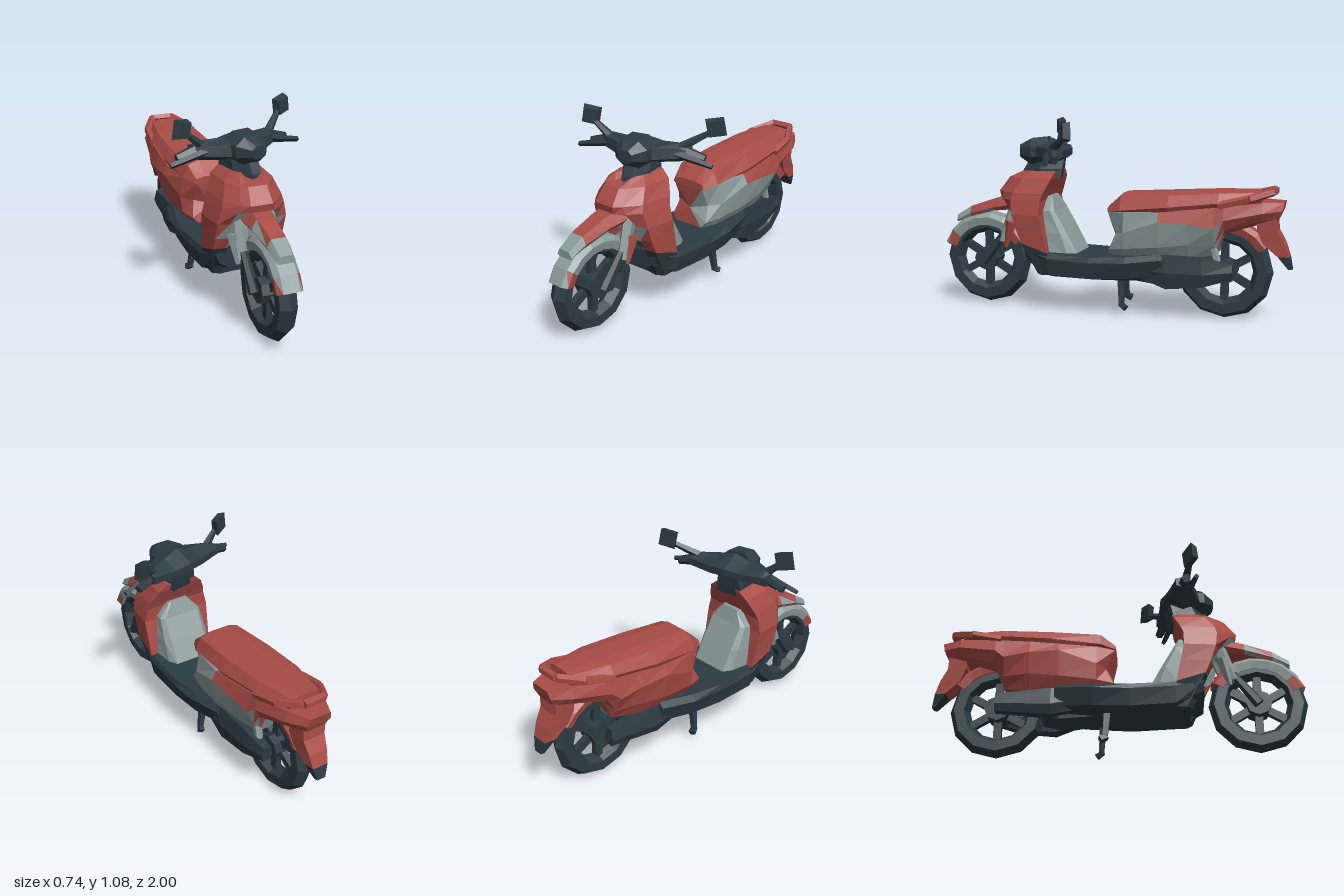
import * as THREE from 'three';

const mat = (name, color) => new THREE.MeshStandardMaterial({ name, color, flatShading: true });

// Closed solid through equal-length loops of [x, y, z], capped at both ends
function loft(rings) {
  const n = rings[0].length, out = [];
  const tri = (a, b, c) => out.push([a, b, c]);
  for (let i = 0; i < rings.length - 1; i++)
    for (let j = 0; j < n; j++) {
      const k = (j + 1) % n, a = rings[i], b = rings[i + 1];
      tri(a[j], a[k], b[k]);
      tri(a[j], b[k], b[j]);
    }
  [rings[0], rings[rings.length - 1]].forEach((r, end) => {
    const c = [0, 1, 2].map(d => r.reduce((s, p) => s + p[d], 0) / n);
    for (let j = 0; j < n; j++) {
      const p = r[j], q = r[(j + 1) % n];
      end ? tri(c, p, q) : tri(c, q, p);
    }
  });
  // turn every face outward
  const vol = out.reduce((s, [a, b, c]) =>
    s + new THREE.Vector3(...a).dot(new THREE.Vector3(...b).cross(new THREE.Vector3(...c))), 0);
  const pos = out.flatMap(([a, b, c]) => (vol < 0 ? [a, c, b] : [a, b, c]).flat());
  const g = new THREE.BufferGeometry();
  g.setAttribute('position', new THREE.Float32BufferAttribute(pos, 3));
  g.computeVertexNormals();
  return g;
}

// Mirror a half outline into a full loop
const mirror = half => [...half, ...half.slice().reverse().map(([x, ...r]) => [-x, ...r])];
// Sections across the length: [z, [x, y, dz?], ...]; sections up the height: [y, [x, z, dy?], ...]
const loftZ = secs => loft(secs.map(([z, ...h]) => mirror(h).map(([x, y, d = 0]) => [x, y, z + d])));
const loftY = secs => loft(secs.map(([y, ...h]) => mirror(h).map(([x, z, d = 0]) => [x, y + d, z])));
// Arched guard over a wheel, angles in degrees from the front
const arch = (cy, cz, half, from, to, steps) => loft(Array.from({ length: steps + 1 }, (_, i) => {
  const a = THREE.MathUtils.degToRad(from + (to - from) * i / steps);
  return mirror(half).map(([x, r]) => [x, cy + r * Math.sin(a), cz + r * Math.cos(a)]);
}));

// Give each triangle a material index by a rule on its centre
function paint(g, rule) {
  const p = g.attributes.position;
  for (let i = 0; i < p.count; i += 3) {
    const m = [0, 1, 2].map(d => (p.getComponent(i, d) + p.getComponent(i + 1, d) + p.getComponent(i + 2, d)) / 3);
    g.addGroup(i, 3, rule(...m));
  }
  return g;
}

// Tapered bar between two points
function bar(a, b, r1, r2 = r1, sides = 6) {
  const A = new THREE.Vector3(...a), B = new THREE.Vector3(...b), d = B.clone().sub(A);
  const g = new THREE.CylinderGeometry(r2, r1, d.length(), sides);
  g.applyQuaternion(new THREE.Quaternion().setFromUnitVectors(new THREE.Vector3(0, 1, 0), d.normalize()));
  return g.translate(...A.add(B).multiplyScalar(0.5).toArray());
}

// Leg shield colours: dark foot, grey recess behind the wheel, red elsewhere
function shieldColour(x, y, z) {
  if (y < 0.375) return 2;
  const w = Math.abs(x);
  return z > 0.42 && ((w < 0.1 && y < 0.605) || (w < 0.152 && y > 0.48 && y < 0.56)) ? 1 : 0;
}

export function createModel() {
  const red = mat('red paint', 0xa84c46), grey = mat('grey panel', 0x8b9c9a), dark = mat('dark plastic', 0x2c3b43);
  const both = [red, grey, dark];
  const root = new THREE.Group();
  const body = new THREE.Group();
  body.name = 'body';
  body.position.x = -0.07;
  body.rotation.y = 0.19;
  root.add(body);
  const add = (parent, name, g, m) => {
    const o = new THREE.Mesh(g, m);
    o.name = name;
    parent.add(o);
    return o;
  };

  // Wheels
  for (const [name, x, z] of [['frontWheel', -0.008, 0.76], ['rearWheel', 0, -0.64]]) {
    const w = new THREE.Group();
    w.name = name;
    w.position.set(x, 0.265, z);
    body.add(w);
    add(w, 'tyre', new THREE.TorusGeometry(0.21, 0.055, 6, 12).rotateY(Math.PI / 2), dark);
    add(w, 'hub', new THREE.CylinderGeometry(0.07, 0.07, 0.12, 8).rotateZ(Math.PI / 2), dark);
    for (let i = 0; i < 6; i++)
      add(w, 'spoke', new THREE.BoxGeometry(0.035, 0.15, 0.042).translate(0, 0.11, 0).rotateX(i * Math.PI / 3), dark);
  }

  // Floorboard
  add(body, 'floorboard', loftZ([
    [0.47, [0.1, 0.27], [0.15, 0.3], [0.17, 0.35], [0.15, 0.37]],
    [0.32, [0.13, 0.2], [0.19, 0.22], [0.205, 0.31], [0.19, 0.34]],
    [0.08, [0.13, 0.195], [0.19, 0.21], [0.21, 0.3], [0.2, 0.33]],
    [-0.12, [0.13, 0.2], [0.18, 0.22], [0.21, 0.31], [0.18, 0.34]],
    [-0.32, [0.1, 0.21], [0.14, 0.24], [0.17, 0.33], [0.14, 0.36]]]), dark);

  // Leg shield: front centre, front corner, side, back edge, inner
  add(body, 'legShield', paint(loftY([
    [0.21, [0.06, 0.4], [0.12, 0.41], [0.16, 0.38], [0.16, 0.32], [0.1, 0.32]],
    [0.36, [0.06, 0.43, 0.03], [0.12, 0.49, 0.03], [0.19, 0.48, 0.03], [0.2, 0.325, -0.02], [0.12, 0.33, -0.02]],
    [0.46, [0.06, 0.445], [0.125, 0.525], [0.19, 0.51], [0.205, 0.35], [0.13, 0.35]],
    [0.55, [0.06, 0.46], [0.13, 0.56], [0.19, 0.54], [0.21, 0.37], [0.14, 0.37]],
    [0.63, [0.06, 0.65], [0.11, 0.62], [0.17, 0.55], [0.19, 0.37], [0.14, 0.37]],
    [0.67, [0.06, 0.66], [0.1, 0.62], [0.16, 0.54], [0.18, 0.355], [0.13, 0.355]],
    [0.75, [0.05, 0.6], [0.08, 0.57], [0.13, 0.49], [0.14, 0.32], [0.1, 0.32]],
    [0.79, [0.03, 0.54, -0.03], [0.06, 0.51], [0.085, 0.45], [0.09, 0.31], [0.05, 0.31]]]),
    shieldColour), both);
  add(body, 'innerPanel', loftY([
    [0.32, [0.11, 0.17], [0.14, 0.22], [0.16, 0.36]],
    [0.45, [0.11, 0.24], [0.14, 0.27], [0.15, 0.39]],
    [0.57, [0.11, 0.31], [0.13, 0.33], [0.13, 0.4]],
    [0.65, [0.05, 0.34], [0.06, 0.345], [0.06, 0.4]]]), grey);

  // Front fender and beak
  add(body, 'frontFender', paint(arch(0.26, 0.755, [[0.062, 0.205], [0.07, 0.25], [0.045, 0.275]], 20, 152, 7),
    (x, y, z) => z < 0.6 || (y < 0.41 && z < 0.985 && Math.abs(x) > 0.061) ? 0 : 1), both);
  add(body, 'beak', paint(loftZ([
    [0.52, [0.08, 0.57], [0.1, 0.6], [0.06, 0.66]],
    [0.7, [0.06, 0.55], [0.075, 0.57], [0.045, 0.62]],
    [0.85, [0.05, 0.51], [0.06, 0.53], [0.04, 0.57]],
    [0.94, [0.04, 0.475], [0.05, 0.485], [0.035, 0.515]]]),
    (x, y, z) => z > 0.84 || (Math.abs(x) > 0.058 && z > 0.66 && z < 0.76) ? 1 : 0), both);

  // Front fork on both sides, with the red guard on the left
  for (const s of [-1, 1]) {
    add(body, 'forkLeg', bar([s * 0.08, 0.25, 0.76], [s * 0.085, 0.42, 0.63], 0.03, 0.022), dark);
    add(body, 'forkCover', bar([s * 0.09, 0.38, 0.63], [s * 0.075, 0.6, 0.55], 0.03, 0.04, 5), grey);
    add(body, 'forkGuard', bar([s * 0.105, 0.35, 0.61], [s * 0.115, 0.5, 0.57], 0.012, 0.035, 4), s > 0 ? red : grey);
  }

  // Rear body: grey on the left flank, red elsewhere
  add(body, 'rearBody', paint(loftZ([
    [0, [0.09, 0.34], [0.12, 0.37, -0.01], [0.1, 0.46, -0.05], [0.1, 0.575]],
    [-0.1, [0.12, 0.33], [0.15, 0.38], [0.16, 0.47], [0.14, 0.58]],
    [-0.3, [0.13, 0.33], [0.17, 0.4], [0.19, 0.54], [0.165, 0.59]],
    [-0.46, [0.12, 0.34], [0.16, 0.42], [0.185, 0.535], [0.16, 0.61]],
    [-0.6, [0.09, 0.36], [0.13, 0.42], [0.175, 0.515], [0.15, 0.625]],
    [-0.65, [0.09, 0.48], [0.13, 0.5], [0.165, 0.56], [0.15, 0.63]],
    [-0.85, [0.06, 0.54], [0.1, 0.56], [0.13, 0.6], [0.11, 0.655]],
    [-0.96, [0.03, 0.55, 0.04], [0.06, 0.565, 0.03], [0.075, 0.61, 0.01], [0.06, 0.655]]]),
    (x, y, z) => x > 0 && z > -0.62 && (y < 0.52 || z > -0.26) ? 1 : 0), both);
  add(body, 'seat', loftZ([
    [0, [0.06, 0.565], [0.11, 0.575], [0.1, 0.6], [0.05, 0.61]],
    [-0.08, [0.1, 0.57], [0.15, 0.59], [0.12, 0.66], [0.06, 0.68]],
    [-0.35, [0.15, 0.58], [0.17, 0.62], [0.13, 0.68], [0.06, 0.695]],
    [-0.62, [0.13, 0.61], [0.155, 0.65], [0.12, 0.7], [0.06, 0.71]],
    [-0.84, [0.08, 0.64], [0.1, 0.67], [0.08, 0.705], [0.04, 0.715]]]), red);

  // Grab rail around the tail
  const rail = mirror([[0.145, 0.635, -0.62], [0.13, 0.675, -0.78], [0.06, 0.71, -0.9]]);
  for (let i = 0; i < rail.length - 1; i++) add(body, 'grabRail', bar(rail[i], rail[i + 1], 0.023, 0.023, 5), red);

  // Rear guards
  add(body, 'rearFender', arch(0.265, -0.64, [[0.055, 0.22], [0.065, 0.26], [0.04, 0.285]], 80, 148, 4), red);
  add(body, 'mudguard', paint(loftY([
    [0.57, [0.07, -0.92], [0.08, -0.82]],
    [0.5, [0.065, -0.925], [0.075, -0.82]],
    [0.43, [0.055, -0.965], [0.065, -0.85]],
    [0.36, [0.045, -0.99], [0.055, -0.93]],
    [0.29, [0.025, -1.005], [0.03, -0.985]]]), (x, y) => y < 0.35 ? 2 : 0), both);

  // Engine and transmission on the left, silencer on the right
  add(body, 'engine', loftZ([
    [-0.1, [0.08, 0.2], [0.1, 0.33]],
    [-0.3, [0.1, 0.18], [0.13, 0.36]],
    [-0.4, [0.06, 0.2], [0.08, 0.37]]]), dark);
  add(body, 'transmission', loftZ([
    [-0.2, [0.03, 0.22], [0.05, 0.27], [0.03, 0.34]],
    [-0.34, [0.04, 0.17], [0.055, 0.26], [0.04, 0.36]],
    [-0.54, [0.035, 0.19], [0.05, 0.26], [0.035, 0.35]],
    [-0.7, [0.02, 0.24], [0.035, 0.28], [0.02, 0.32]]]).translate(0.11, 0, 0), dark);
  add(body, 'silencer', loftZ([
    [-0.18, [0.02, 0.22], [0.035, 0.27], [0.02, 0.31]],
    [-0.34, [0.035, 0.19], [0.055, 0.24], [0.035, 0.34]],
    [-0.64, [0.02, 0.22], [0.035, 0.26], [0.02, 0.32]]]).translate(-0.11, 0, 0), dark);
  add(body, 'shockAbsorber', bar([0.1, 0.3, -0.62], [0.1, 0.48, -0.57], 0.022), grey);

  // Centre stand
  for (const s of [-1, 1]) {
    const z = -0.07 - s * 0.018;
    add(body, 'standLeg', bar([s * 0.1, 0.22, z + 0.01], [s * 0.125, 0.06, z], 0.026, 0.018, 4), dark);
    add(body, 'standFoot', bar([s * 0.12, 0.065, z + 0.01], [s * 0.135, 0.045, z - 0.025], 0.018, 0.022, 4), dark);
  }

  // Steering head, turned a little further to the left
  const bars = new THREE.Group();
  bars.name = 'handlebar';
  bars.position.z = 0.37;
  bars.rotation.y = 0.42;
  root.add(bars);
  add(bars, 'neck', loftY([
    [0.75, [0.03, 0.16, -0.01], [0.08, 0.06], [0.08, -0.07]],
    [0.8, [0.03, 0.15, -0.015], [0.08, 0.05], [0.075, -0.08]],
    [0.87, [0.03, 0.1], [0.075, 0.02], [0.06, -0.09]]]), dark);
  // sections along the bar: x, bottom, top, back, front
  add(bars, 'barCowl', loft([
    [-0.25, 0.865, 0.93, -0.1, -0.02], [-0.22, 0.845, 0.945, -0.1, 0], [-0.1, 0.83, 0.95, -0.115, 0.07],
    [0, 0.825, 0.975, -0.13, 0.1], [0.1, 0.83, 0.95, -0.115, 0.07], [0.22, 0.845, 0.945, -0.1, 0],
    [0.25, 0.865, 0.93, -0.1, -0.02]].map(([x, lo, hi, b, f]) => {
    const m = (lo + hi) / 2, c = (b + f) / 2;
    return [[x, lo, c], [x, m - 0.02, f], [x, hi - 0.02, f - 0.01], [x, hi, c], [x, m + 0.02, b], [x, m - 0.02, b]];
  })), dark);
  add(bars, 'headlight', loftZ([
    [0, [0.05, 0.82], [0.105, 0.87], [0.105, 0.93], [0.05, 0.98]],
    [0.1, [0.045, 0.825], [0.095, 0.87], [0.095, 0.93], [0.045, 0.97]],
    [0.165, [0.02, 0.865], [0.04, 0.88], [0.04, 0.915], [0.02, 0.935]]]), dark);
  for (const s of [-1, 1]) {
    add(bars, 'grip', bar([s * 0.22, 0.9, -0.05], [s * 0.34, 0.87, -0.065], 0.034, 0.024), dark);
    add(bars, 'lever', bar([s * 0.2, 0.895, -0.01], [s * 0.4, 0.852, -0.025], 0.022, 0.014, 4), dark);
    const head = add(bars, 'mirrorHead', new THREE.CylinderGeometry(0.055, 0.07, 0.04, 4).rotateX(Math.PI / 2), dark);
    head.position.set(s * 0.345 + 0.022, 1.022, -0.08 - s * 0.048);
    head.rotation.set(0, 0.28, Math.PI / 4 + s * 0.18);
    add(bars, 'mirrorStem', bar([s * 0.21, 0.92, -0.04], [head.position.x - s * 0.02, 1, head.position.z], 0.026, 0.015, 5), dark);
  }
  return root;
}
